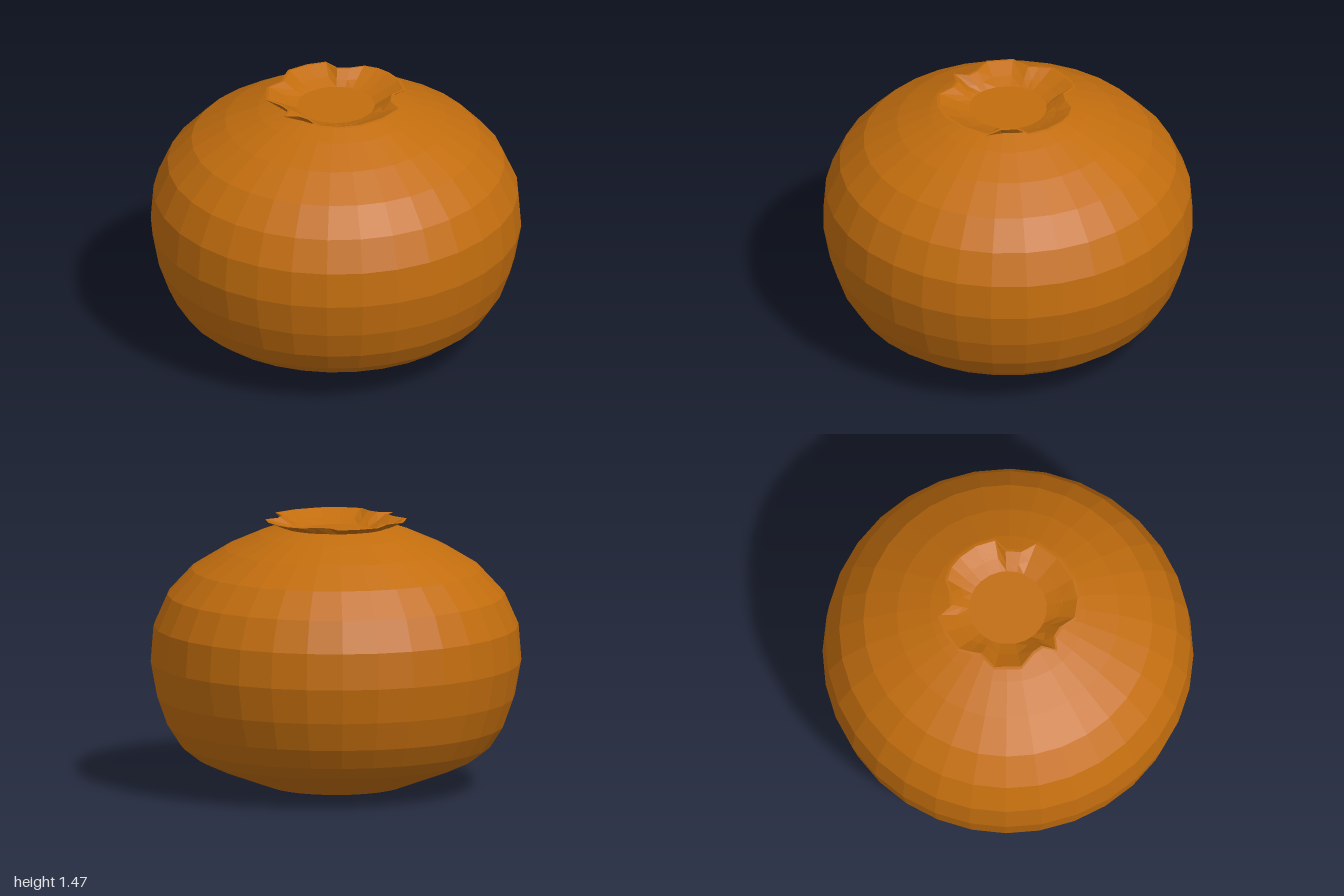
import * as THREE from 'three';

const clay = new THREE.MeshStandardMaterial({ color: 0xc26d0e, flatShading: true });
clay.name = 'orange clay';

// Joins closed loops of points, and closes the last loop with its centre
function skinLoops(loops, center) {
  const n = loops[0].length;
  const pos = loops.flat(2).concat(center);
  const index = [];
  for (let i = 0; i < n; i++) {
    const j = (i + 1) % n;
    for (let k = 0; k < loops.length - 1; k++) {
      const a = k * n, b = a + n;
      index.push(a + i, b + i, b + j, a + i, b + j, a + j);
    }
    const last = (loops.length - 1) * n;
    index.push(last + i, loops.length * n, last + j);
  }
  const g = new THREE.BufferGeometry();
  g.setAttribute('position', new THREE.Float32BufferAttribute(pos, 3));
  g.setIndex(index);
  const flat = g.toNonIndexed();
  flat.computeVertexNormals();
  return flat;
}

export function createModel() {
  const group = new THREE.Group();
  group.name = 'squatPot';

  // Faceted round body, from the underside up to the neck
  const profile = [
    [0, 0], [0.2, 0.03], [0.37, 0.02], [0.64, 0.12], [0.75, 0.17], [0.84, 0.24],
    [0.91, 0.35], [0.965, 0.505], [1, 0.695], [0.985, 0.89], [0.91, 1.06],
    [0.78, 1.2], [0.6, 1.31], [0.42, 1.39], [0.29, 1.435],
  ].map(([r, y]) => new THREE.Vector2(r, y));
  const bodyGeo = new THREE.LatheGeometry(profile, 32).toNonIndexed();
  bodyGeo.computeVertexNormals();
  const body = new THREE.Mesh(bodyGeo, clay);
  body.name = 'body';
  group.add(body);

  // Notched, flared rim outline (x, z), clockwise from the back
  const outline = [
    [0, -0.385], [0.11, -0.37], [0.21, -0.32], [0.21, -0.235], [0.27, -0.17],
    [0.36, -0.145], [0.385, 0], [0.36, 0.15], [0.3, 0.25], [0.21, 0.32],
    [0.11, 0.305], [0.05, 0.32], [0, 0.38], [-0.04, 0.315], [-0.1, 0.305],
    [-0.21, 0.32], [-0.315, 0.22], [-0.315, 0.11], [-0.35, 0.06], [-0.385, 0],
    [-0.365, -0.12], [-0.32, -0.215], [-0.23, -0.215], [-0.18, -0.27],
    [-0.145, -0.34], [-0.075, -0.375],
  ];
  const loop = (radius, y) => outline.map(([x, z]) => {
    const r = Math.hypot(x, z), s = radius(r) / r;
    return [x * s, y, z * s];
  });
  const rimGeo = skinLoops([
    loop(() => 0.295, 1.43),                    // neck
    loop((r) => r, 1.468),                      // outer lip
    loop((r) => r - 0.015, 1.47),               // inner lip
    loop((r) => 0.28 + (r - 0.385) * 0.5, 1.43), // throat
    loop(() => 0.21, 1.405),                    // floor edge
  ], [0, 1.405, 0]);
  const rim = new THREE.Mesh(rimGeo, clay);
  rim.name = 'rim';
  group.add(rim);

  return group;
}
